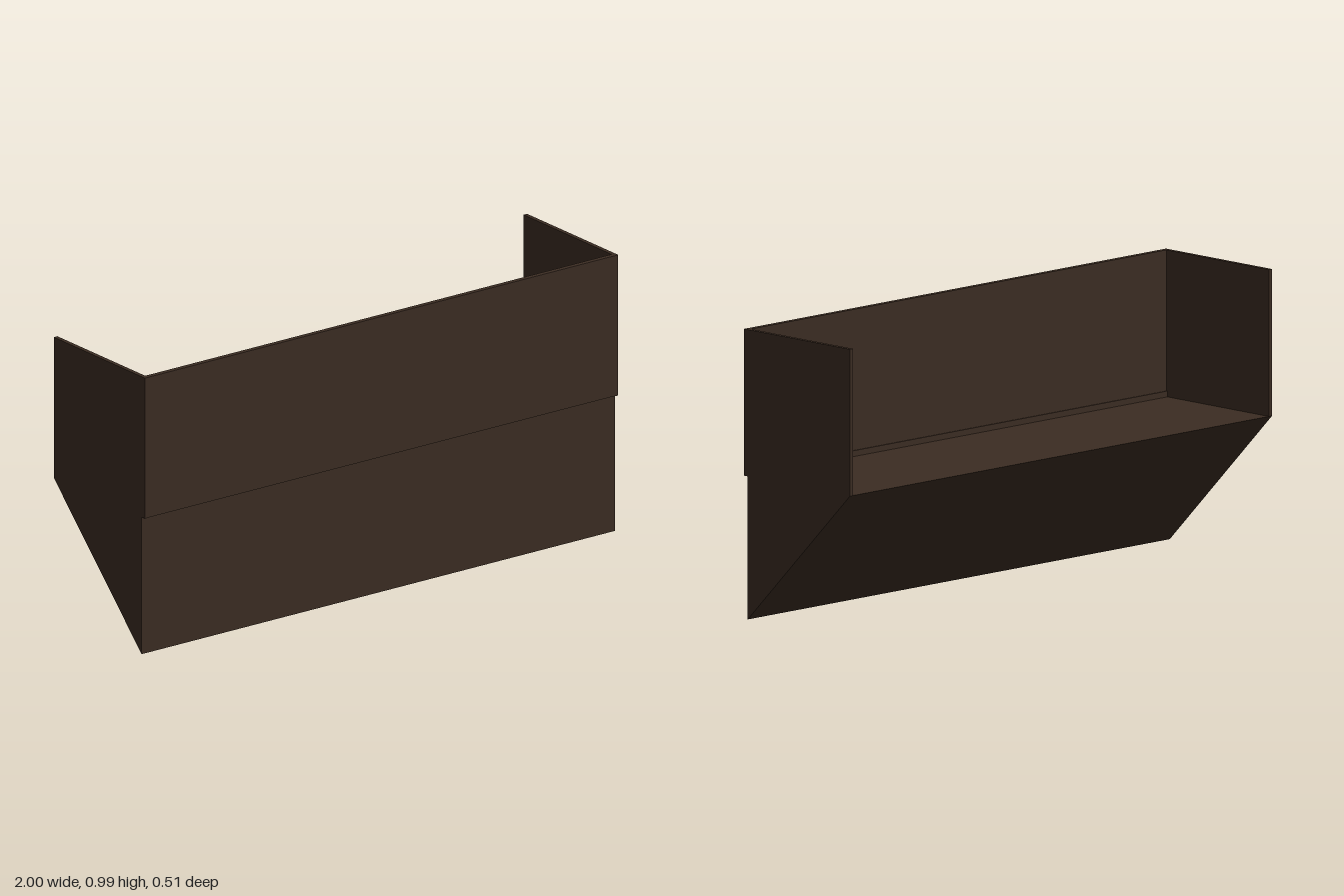
import * as THREE from 'three';

export function createModel() {
  const model = new THREE.Group();
  const wood = new THREE.MeshStandardMaterial({ color: 0x3b2c22 });
  wood.name = 'dark brown';

  const add = (name, geometry) => {
    const mesh = new THREE.Mesh(geometry, wood);
    mesh.name = name;
    model.add(mesh);
    return mesh;
  };
  // Box given by its lower and upper corners
  const box = (name, [x0, y0, z0], [x1, y1, z1]) =>
    add(name, new THREE.BoxGeometry(x1 - x0, y1 - y0, z1 - z0))
      .position.set((x0 + x1) / 2, (y0 + y1) / 2, (z0 + z1) / 2);

  // Wedge base: flat floor on top, upright front, sloping underside
  const wedge = new THREE.Shape();
  wedge.moveTo(-0.235, 0);
  wedge.lineTo(0.253, 0.49);
  wedge.lineTo(-0.235, 0.49);
  wedge.closePath();
  const base = new THREE.ExtrudeGeometry(wedge, { depth: 2, bevelEnabled: false });
  base.translate(0, 0, -1);
  base.rotateY(Math.PI / 2); // shape x becomes -z
  add('wedgeBase', base);

  // Front panel above a thin bottom rail
  box('frontPanel', [-1, 0.51, 0.235], [1, 0.993, 0.253]);
  box('frontRail', [-0.985, 0.49, 0.231], [0.985, 0.51, 0.251]);

  // Side walls
  for (const side of [-1, 1]) {
    const name = side > 0 ? 'leftWall' : 'rightWall';
    const [a, b] = [side * 0.985, side].sort((p, q) => p - q);
    box(name, [a, 0.49, -0.253], [b, 0.993, 0.235]);
    box(name + 'Foot', [a, 0.49, 0.235], [b, 0.51, 0.253]);
  }
  return model;
}
